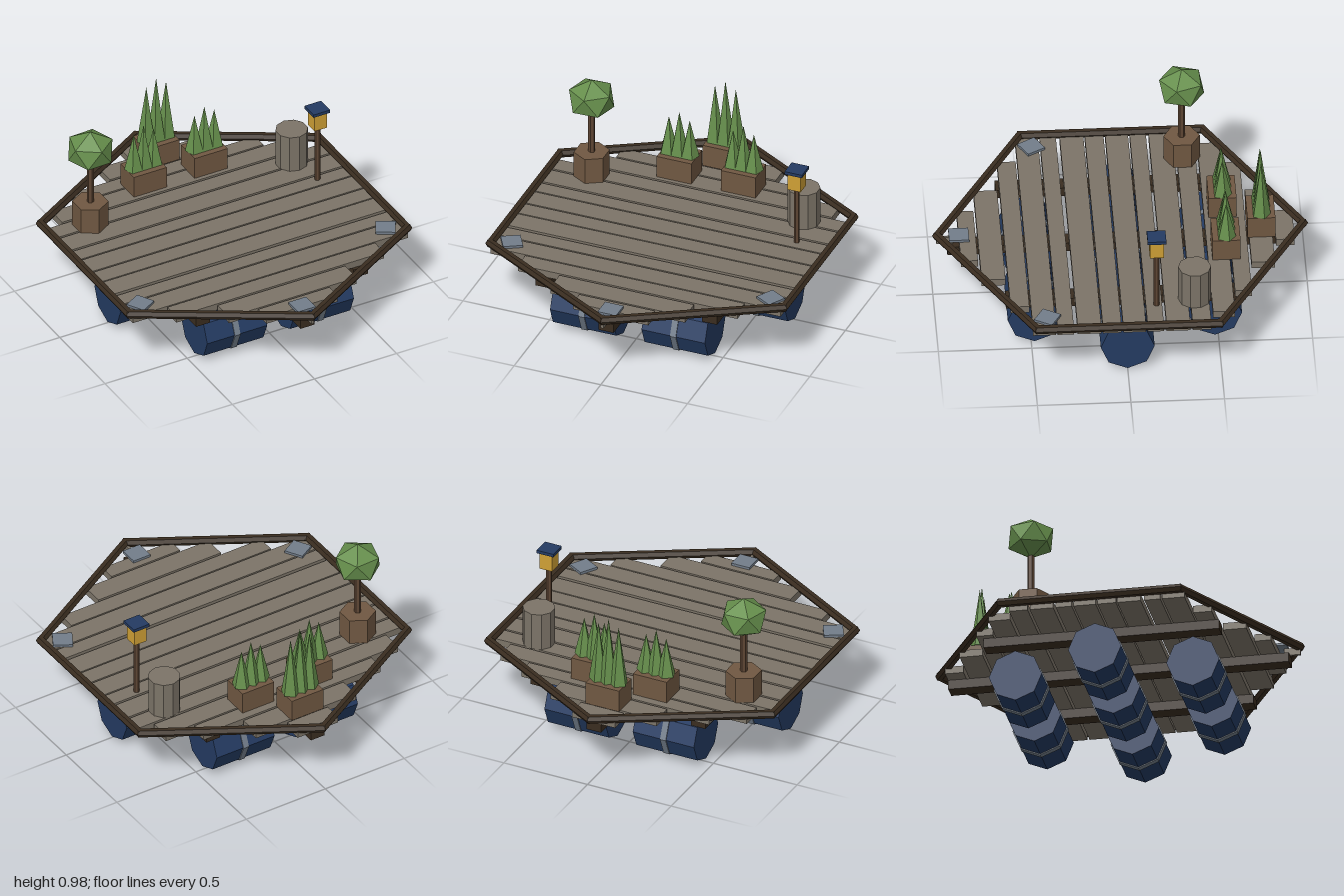
import * as THREE from 'three';

const mat = (name, color) => {
  const m = new THREE.MeshStandardMaterial({ color, flatShading: true });
  m.name = name;
  return m;
};

export function createModel() {
  const deckWood = mat('weathered wood', 0x7c7468);
  const darkWood = mat('dark wood', 0x3a2d20);
  const potWood = mat('planter wood', 0x705842);
  const trunkWood = mat('post wood', 0x5e4634);
  const navy = mat('navy', 0x243b62);
  const steel = mat('steel', 0x727d8a);
  const leaf = mat('leaf green', 0x668f4c);
  const amber = mat('amber', 0xcfa035);

  const model = new THREE.Group();
  model.name = 'raft';

  const add = (name, geo, material, x, y, z, parent = model) => {
    const m = new THREE.Mesh(geo, material);
    m.name = name;
    m.position.set(x, y, z);
    parent.add(m);
    return m;
  };
  const box = (w, h, d) => new THREE.BoxGeometry(w, h, d);
  const cyl = (r, h, n) => new THREE.CylinderGeometry(r, r, h, n);
  const deckY = 0.385;

  // Deck planks: centre z, width, half length
  const planks = [
    [-0.876, 0.10, 0.127], [-0.747, 0.125, 0.317], [-0.627, 0.09, 0.56], [-0.513, 0.117, 0.735],
    [-0.39, 0.10, 0.837], [-0.264, 0.127, 0.837], [-0.143, 0.087, 0.837], [-0.03, 0.122, 0.837],
    [0.09, 0.10, 0.837], [0.211, 0.127, 0.837], [0.338, 0.087, 0.837], [0.452, 0.122, 0.837],
    [0.571, 0.10, 0.632], [0.698, 0.127, 0.388], [0.817, 0.09, 0.217], [0.937, 0.09, 0.008],
  ];
  for (const [z, w, half] of planks) {
    add('plank', box(half * 2, 0.04, w), deckWood, 0, deckY - 0.02, z);
  }

  // Hexagonal rim rails
  const R = 0.978;
  for (let i = 0; i < 6; i++) {
    const a = Math.PI / 6 + (i * Math.PI) / 3;
    const d = R * Math.cos(Math.PI / 6);
    const rail = cyl(0.024, R + 0.02, 6).rotateZ(Math.PI / 2);
    add('rimRail', rail, darkWood, Math.sin(a) * d, 0.393, Math.cos(a) * d).rotation.y = a;
  }

  // Joists under the deck
  for (const [x, len] of [[-0.48, 1.28], [0, 1.85], [0.48, 1.28]]) {
    add('joist', box(0.086, 0.052, len), darkWood, x, 0.319, 0);
  }

  // Seven float barrels with steel bands
  const barrelGeo = cyl(0.144, 0.365, 8).rotateZ(Math.PI / 2);
  const bandGeo = cyl(0.15, 0.034, 8).rotateZ(Math.PI / 2);
  for (const [z, xs] of [[-0.482, [-0.264, 0.264]], [0, [-0.527, 0, 0.527]], [0.482, [-0.264, 0.264]]]) {
    for (const x of xs) {
      const barrel = new THREE.Group();
      barrel.name = 'floatBarrel';
      barrel.position.set(x, 0.15, z);
      add('barrelBody', barrelGeo, navy, 0, 0, 0, barrel);
      add('barrelBand', bandGeo, steel, 0, 0, 0, barrel);
      model.add(barrel);
    }
  }

  // Steel plates at the front corners
  for (const a of [-Math.PI / 3, 0, Math.PI / 3]) {
    add('cornerPlate', box(0.107, 0.014, 0.107), steel, Math.sin(a) * 0.862, deckY + 0.007, Math.cos(a) * 0.862)
      .rotation.y = a;
  }

  // Planter boxes, each with three conical shrubs
  for (const [x, z, h] of [[0, -0.75, 0.385], [-0.185, -0.553, 0.26], [0.185, -0.553, 0.26]]) {
    const planter = new THREE.Group();
    planter.name = 'planter';
    planter.position.set(x, deckY, z);
    add('planterBox', box(0.2, 0.127, 0.15), potWood, 0, 0.0635, 0, planter);
    for (const s of [-1, 0, 1]) {
      const height = s ? h - 0.04 : h;
      const shrub = new THREE.ConeGeometry(0.052, height, 5).rotateY(Math.PI);
      add('shrub', shrub, leaf, s * 0.06, 0.127 + height / 2, 0, planter);
    }
    model.add(planter);
  }

  // Potted round tree
  const tree = new THREE.Group();
  tree.name = 'pottedTree';
  tree.position.set(-0.613, 0, -0.365);
  add('treePot', cyl(0.097, 0.15, 6), potWood, 0, 0.46, 0, tree);
  add('treeTrunk', cyl(0.019, 0.3, 6), trunkWood, 0, 0.66, 0, tree);
  const crown = new THREE.IcosahedronGeometry(0.13, 0)
    .rotateZ(Math.atan(2 / (1 + Math.sqrt(5))))
    .rotateY(0.35)
    .scale(1.04, 0.88, 1.04);
  add('treeCrown', crown, leaf, 0, 0.867, 0, tree);
  model.add(tree);

  // Upright wooden cask
  add('cask', cyl(0.088, 0.215, 10), deckWood, 0.612, 0.4925, -0.363);

  // Lantern on a post
  const lamp = new THREE.Group();
  lamp.name = 'lantern';
  lamp.position.set(0.655, 0, -0.157);
  add('lanternPost', cyl(0.016, 0.36, 6), trunkWood, 0, 0.56, 0, lamp);
  add('lanternBox', box(0.075, 0.1, 0.075), amber, 0, 0.777, 0, lamp);
  add('lanternRoof', box(0.1, 0.018, 0.1), navy, 0, 0.835, 0, lamp);
  model.add(lamp);

  return model;
}
